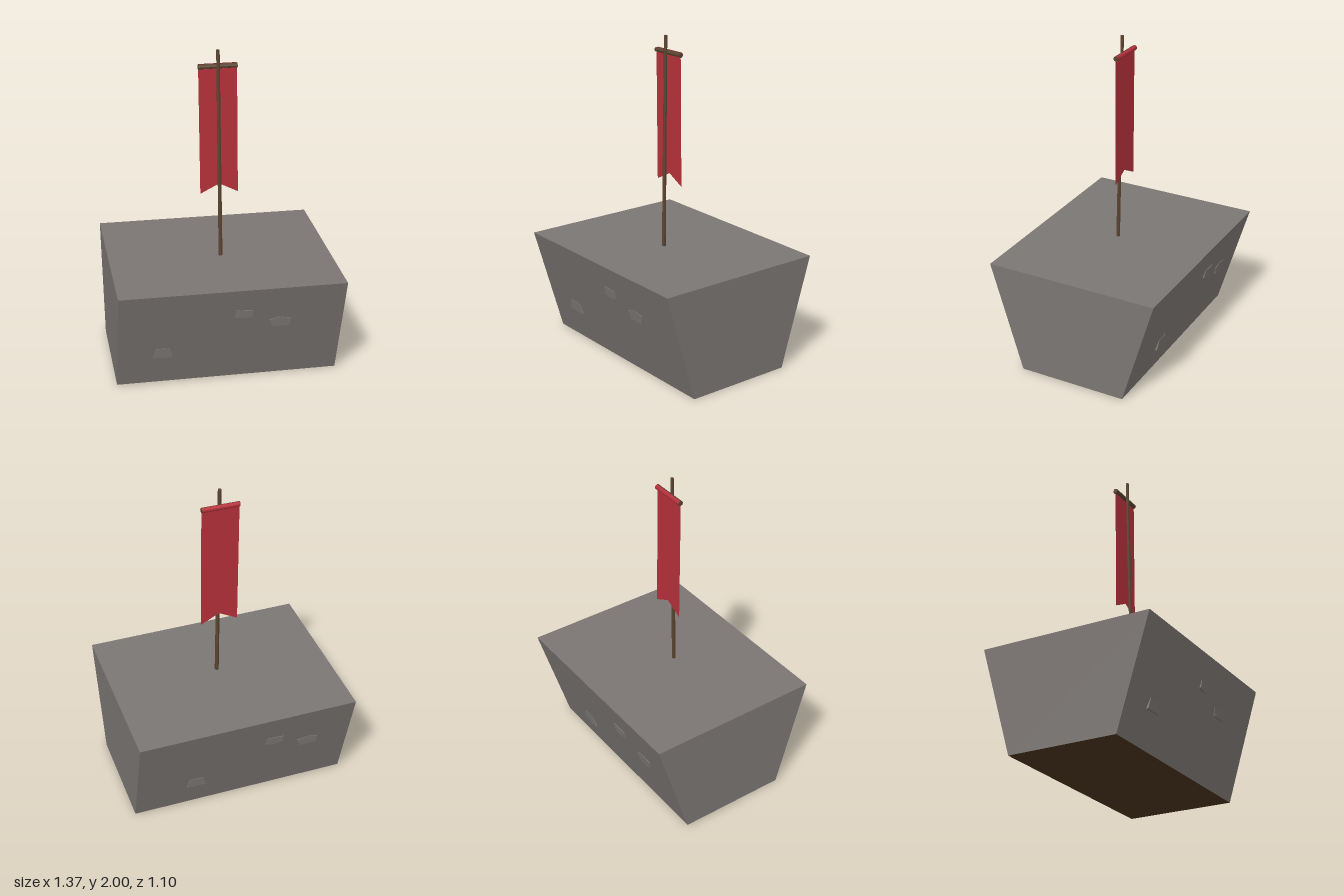
import * as THREE from 'three';

const mat = (color, extra = {}) => new THREE.MeshStandardMaterial({ color, flatShading: true, ...extra });

const H = 0.685, TOP_Z = 0.55, BOTTOM_Z = 0.345;
const wallZ = (y) => BOTTOM_Z + (TOP_Z - BOTTOM_Z) * (y / H);

function named(geometry, material, name) {
  const mesh = new THREE.Mesh(geometry, material);
  mesh.name = name;
  return mesh;
}

export function createModel() {
  const model = new THREE.Group();
  model.name = 'bannerOnStoneBlock';
  const stone = mat(0x7b7673);
  const earth = mat(0x4a3420);
  const wood = mat(0x5a4430);
  const cloth = mat(0xb5303a, { side: THREE.DoubleSide });

  // Block: front and back walls lean outward, underside is earth-coloured
  const block = new THREE.Group();
  block.name = 'block';
  block.position.y = 0.005;
  block.rotation.z = -0.007;
  model.add(block);

  const body = new THREE.BoxGeometry(1.37, H, 2);
  body.translate(0, H / 2, 0);
  const p = body.attributes.position;
  for (let i = 0; i < p.count; i++) p.setZ(i, Math.sign(p.getZ(i)) * wallZ(p.getY(i)));
  body.computeVertexNormals();
  block.add(named(body, [stone, stone, stone, earth, stone, stone], 'blockBody'));

  // Raised stones: centre and outline around it
  const stones = [
    { at: [-0.41, 0.24], outline: [[-0.06, -0.035], [0.06, -0.035], [0.04, 0.033], [-0.045, 0.033]] },
    { at: [0.07, 0.505], outline: [[-0.055, -0.02], [-0.01, -0.032], [0.055, -0.022], [0.055, 0.025], [-0.05, 0.03]] },
    { at: [0.295, 0.425], outline: [[-0.045, -0.035], [0.06, -0.033], [0.067, 0.018], [0, 0.035], [-0.065, 0.018]] },
  ];
  const addStones = (name, turn, dx, dy) => {
    const side = new THREE.Group();
    side.name = name;
    side.rotation.y = turn;
    for (const { at: [x, y], outline } of stones) {
      const shape = new THREE.Shape(outline.map(([a, b]) => new THREE.Vector2(a, b)));
      const geo = new THREE.ExtrudeGeometry(shape, { depth: 0.04, bevelEnabled: false });
      geo.translate(0, 0, -0.04);
      const slab = named(geo, stone, 'raisedStone');
      slab.position.set(x + dx, y + dy, wallZ(y + dy) + 0.008);
      slab.rotation.x = 0.14;
      side.add(slab);
    }
    block.add(side);
  };
  addStones('frontStones', 0, 0, 0);
  addStones('backStones', Math.PI, 0.11, -0.03);

  // Slightly leaning pole
  const foot = new THREE.Vector3(0.013, 0.6, 0.046);
  const tip = new THREE.Vector3(0, 2, 0.02);
  const along = tip.clone().sub(foot);
  const pole = named(new THREE.CylinderGeometry(0.011, 0.013, along.length(), 6), wood, 'pole');
  pole.position.copy(foot).add(tip).multiplyScalar(0.5);
  pole.quaternion.setFromUnitVectors(new THREE.Vector3(0, 1, 0), along.normalize());
  model.add(pole);

  // Crossbar behind the pole
  const bar = named(new THREE.CylinderGeometry(0.015, 0.015, 0.235, 8), wood, 'crossbar');
  bar.rotation.z = Math.PI / 2;
  bar.position.set(0.002, 1.895, 0);
  model.add(bar);

  // Cloth wrapped over the back of the crossbar
  const wrap = named(
    new THREE.CylinderGeometry(0.0175, 0.0175, 0.23, 6, 1, true, Math.PI / 2 + 0.2, Math.PI - 0.2),
    cloth, 'bannerWrap');
  wrap.rotation.z = Math.PI / 2;
  wrap.position.copy(bar.position);
  model.add(wrap);

  // Hanging cloth with a notched lower edge
  const outline = [[-0.114, 1.879], [-0.105, 1.09], [0.012, 1.15], [0.128, 1.09], [0.118, 1.879]];
  const sheet = new THREE.Shape(outline.map(([x, y]) => new THREE.Vector2(x, y)));
  model.add(named(new THREE.ShapeGeometry(sheet), cloth, 'banner'));

  return model;
}
